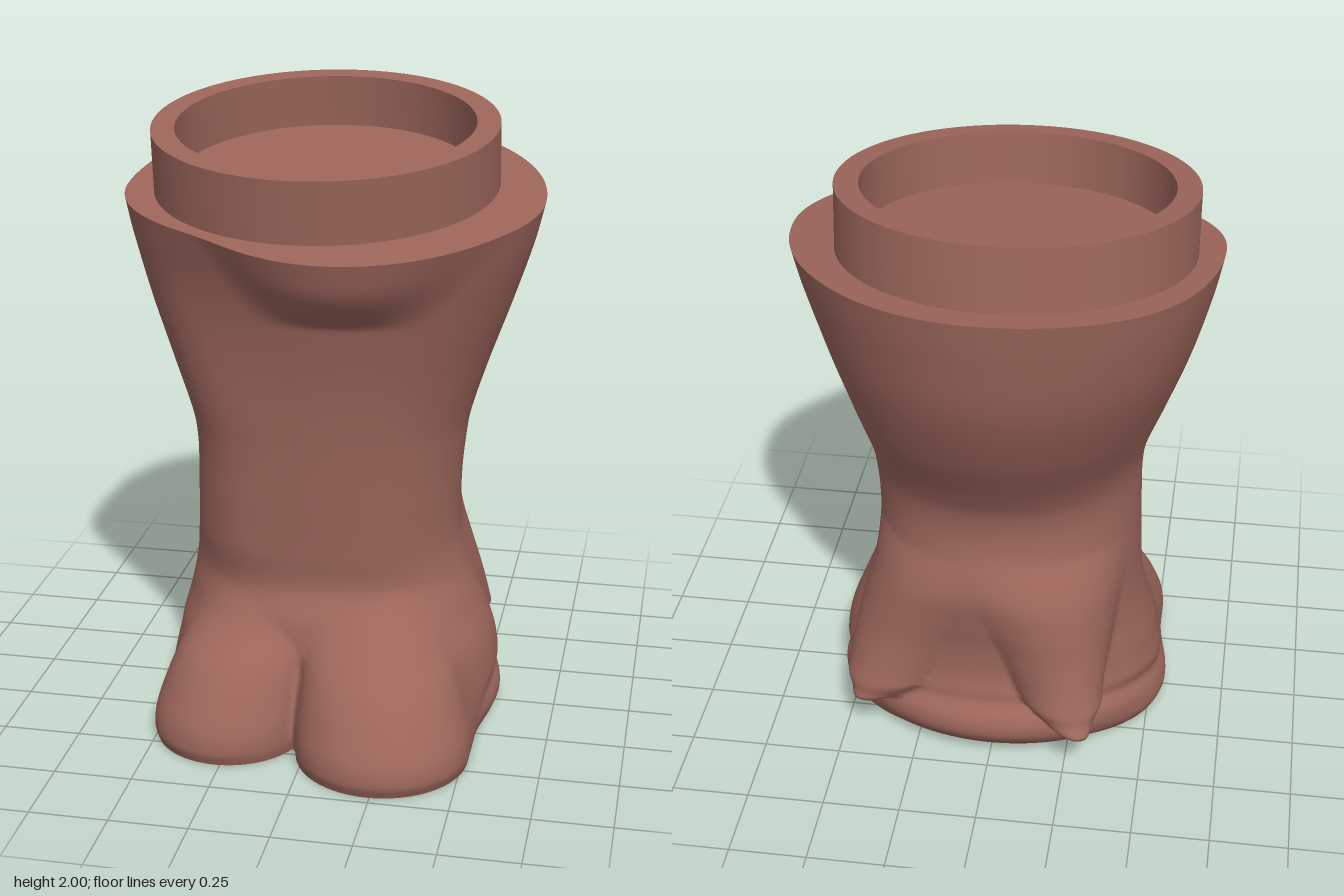
import * as THREE from 'three';
import { toCreasedNormals } from 'three/addons/utils/BufferGeometryUtils.js';

const SLOPE = 0.12;   // forward tilt of the top rim
const TOP = 1.722;    // rim height at the centre
const SIDES = 200, LEVELS = 150;
const { smoothstep, clamp, lerp } = THREE.MathUtils;

// height, right reach, left reach, back reach, front reach, toe scale
const ROWS = [
  [0, .515, .53, .38, .4, .98],
  [.04, .535, .55, .43, .42, 1],
  [.1, .525, .55, .47, .42, .985],
  [.17, .515, .55, .46, .42, .93],
  [.24, .505, .545, .42, .41, .86],
  [.3, .5, .53, .405, .4, .77],
  [.4, .475, .49, .405, .38, .52],
  [.5, .455, .45, .42, .335, .3],
  [.62, .445, .42, .43, .34, .1],
  [.8, .44, .42, .385, .355, .1],
  [.92, .44, .43, .39, .365, .1],
  [1.02, .455, .445, .44, .375, .1],
  [1.2, .52, .5, .56, .4, .1],
  [1.4, .59, .57, .66, .44, .1],
  [1.6, .645, .635, .71, .49, .1],
  [TOP, .67, .665, .73, .525, .1],
];

// angle, bulge at the waist, bulge at the rim
const CORNERS = [[-.8, .035, -.03], [.8, .012, .022], [2.4, .012, -.012], [-2.4, 0, .035]];

// smooth interpolation of a column of ROWS at height y
function sample(y, col) {
  let i = 0;
  while (i < ROWS.length - 2 && y > ROWS[i + 1][0]) i++;
  const slope = (k) => {
    const a = ROWS[Math.max(k - 1, 0)], b = ROWS[Math.min(k + 1, ROWS.length - 1)];
    return (b[col] - a[col]) / (b[0] - a[0]);
  };
  const p = ROWS[i], q = ROWS[i + 1], h = q[0] - p[0], t = (y - p[0]) / h;
  const t2 = t * t, t3 = t2 * t;
  return (2 * t3 - 3 * t2 + 1) * p[col] + (t3 - 2 * t2 + t) * h * slope(i)
    + (3 * t2 - 2 * t3) * q[col] + (t3 - t2) * h * slope(i + 1);
}

const smoothMax = (a, b, k) => {
  const h = Math.max(k - Math.abs(a - b), 0) / k;
  return Math.max(a, b) + h * h * k / 4;
};

// far side of a circle seen from the leg's axis
function lobe(a, cx, cz, r) {
  const along = cx * Math.sin(a) + cz * Math.cos(a);
  const d = r * r - (cx * cx + cz * cz - along * along);
  return d > 0 && along > 0 ? along + Math.sqrt(d) : 0;
}

// toe outline: a round tip swept back along the side of the foot
function toe(a, side, outer, reach, size, k) {
  const r = size * k ** .8, cx = side * (outer * (.3 + .7 * k) - r), cz = reach * k - r;
  let far = 0;
  for (let i = 0; i <= 12; i++) far = Math.max(far, lobe(a, cx, cz * i / 12, r));
  return far;
}

const angleGap = (a, b) => Math.atan2(Math.sin(a - b), Math.cos(a - b));
const bell = (x, w) => Math.exp(-(x / w) * (x / w));

// dewclaw at angle `at`: a rounded hanging tip that widens upward and fades into the ankle
function dewclaw(y, a, at, size) {
  const t = clamp((y - .14) / .6, 0, 1);
  const width = .01 + .2 * Math.sqrt(Math.min(t * 7, 1)) + .6 * t;
  const off = Math.min(Math.abs(angleGap(a, at)) / width, 1);
  return size * smoothstep(y, .135, .165) * (1 - t ** 1.5) * (1 - off * off) ** (.6 + 1.5 * t);
}

// outline radius of the leg at height y and angle a (0 = front, growing to the left)
function radius(y, a) {
  const s = Math.sin(a), c = Math.cos(a);
  const rx = sample(y, s > 0 ? 2 : 1), rz = sample(y, c > 0 ? 4 : 3);
  let r = 1 / Math.hypot(s / rx, c / rz);
  // cloven toes
  if (y < .6) {
    const k = sample(y, 5);
    r = smoothMax(r, Math.max(toe(a, 1, .525, .735, .28, k), toe(a, -1, .515, .625, .245, k)), .1);
  }
  // crease above the sole, rising to the back
  const z = r * c;
  r -= .016 * bell(y - (.12 - .18 * z), .03) * smoothstep(-z, -.3, 0);
  r += dewclaw(y, a, 2.3, .12) + dewclaw(y, a, -2.6, .145);
  // uneven corners of the waist and rim
  for (const [at, waist, rim] of CORNERS)
    r += lerp(waist, rim, smoothstep(y, 1, 1.6)) * smoothstep(y, .35, .65) * bell(angleGap(a, at), .45);
  // overhanging lip at the front of the rim
  const t = clamp((y - 1.46) / (TOP - 1.46), 0, 1);
  const off = Math.min(Math.abs(angleGap(a, .2)) / (.6 + .35 * t), 1);
  return r + .08 * Math.sin(Math.min(t * 1.4, 1) * Math.PI / 2) * Math.cos(off * Math.PI / 2) ** 2;
}

function ring(y) {
  const tilt = SLOPE * smoothstep(y, .8, TOP);
  return Array.from({ length: SIDES }, (_, i) => {
    const a = i / SIDES * Math.PI * 2, r = radius(y, a), z = r * Math.cos(a);
    return [r * Math.sin(a), y - tilt * z, z];
  });
}

function build(points, index) {
  const g = new THREE.BufferGeometry();
  g.setAttribute('position', new THREE.Float32BufferAttribute(points.flat(), 3));
  g.setIndex(index);
  g.computeVertexNormals();
  return g;
}

function legGeometry() {
  const points = [], index = [];
  for (let j = 0; j <= LEVELS; j++) points.push(...ring(TOP * (j / LEVELS) ** 1.35));
  for (let j = 0; j < LEVELS; j++) for (let i = 0; i < SIDES; i++) {
    const n = (i + 1) % SIDES, a = j * SIDES + i, b = j * SIDES + n;
    index.push(a, b, a + SIDES, b, b + SIDES, a + SIDES);
  }
  return build(points, index);
}

// flat cover over the ring at height y
function capGeometry(y, up) {
  const points = [...ring(y), [0, y, 0]], index = [];
  for (let i = 0; i < SIDES; i++) {
    const n = (i + 1) % SIDES;
    index.push(SIDES, up ? i : n, up ? n : i);
  }
  return build(points, index);
}

export function createModel() {
  const group = new THREE.Group();
  const material = new THREE.MeshStandardMaterial({ color: 0x9c665b });
  const add = (name, geometry) => {
    const mesh = new THREE.Mesh(geometry, material);
    mesh.name = name;
    group.add(mesh);
    return mesh;
  };

  add('leg', legGeometry());
  add('sole', capGeometry(0, false));
  add('rim', capGeometry(TOP, true));

  // socket collar with a recessed floor
  const profile = [[.55, -.02], [.55, .2], [.475, .2], [.475, .03], [0, .03]];
  const lathe = new THREE.LatheGeometry(profile.map(([x, y]) => new THREE.Vector2(x, y)), 96);
  const collar = add('collar', toCreasedNormals(lathe, .6));
  collar.position.set(-.04, TOP + SLOPE * .09, -.09);
  collar.rotation.x = Math.atan(SLOPE);
  return group;
}
